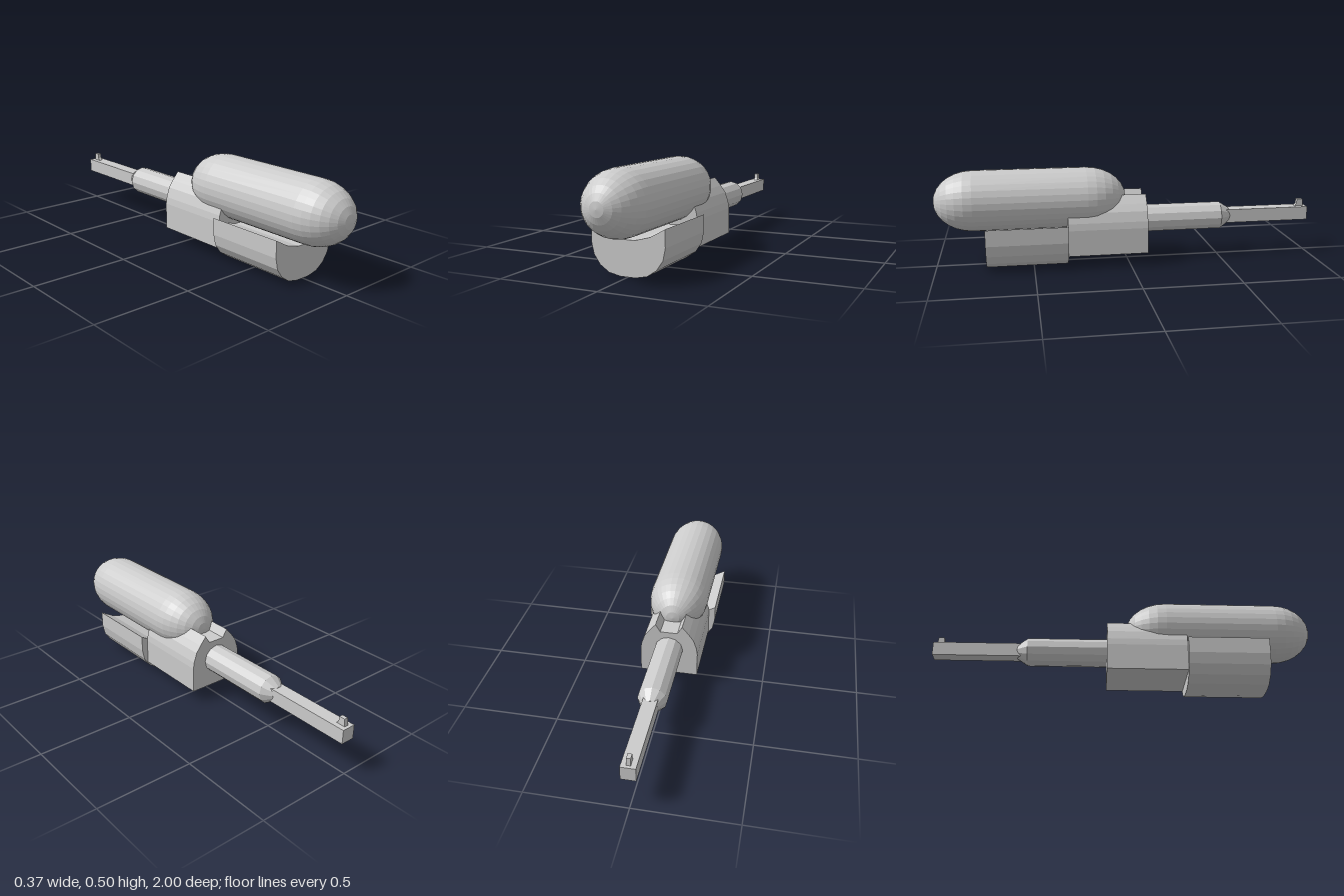
import * as THREE from 'three';

const material = new THREE.MeshStandardMaterial({ color: 0xcccccc, flatShading: true });

function add(group, name, geometry) {
  const mesh = new THREE.Mesh(geometry, material);
  mesh.name = name;
  group.add(mesh);
}

// Mirror a right-hand outline [x, y] (bottom to top) across x = 0 and extrude it along z
function mirroredPrism(half, zBack, zFront) {
  const outline = [...half, ...half.map(([x, y]) => [-x, y]).reverse()];
  const shape = new THREE.Shape(outline.map(([x, y]) => new THREE.Vector2(x, y)));
  const geometry = new THREE.ExtrudeGeometry(shape, { depth: zFront - zBack, bevelEnabled: false });
  return geometry.translate(0, 0, zBack);
}

// Revolve [radius, z] points, ordered back to front, around a z axis at height y
function latheZ(points, sides, y) {
  const profile = points.map(([r, z]) => new THREE.Vector2(r, z));
  return new THREE.LatheGeometry(profile, sides).rotateX(Math.PI / 2).translate(0, y, 0);
}

export function createModel() {
  const group = new THREE.Group();

  // Long tank with elliptical ends
  const tank = [];
  const steps = 7, radius = 0.157;
  for (let i = 0; i <= steps; i++) {
    const a = (i / steps) * Math.PI / 2;
    tank.push([radius * Math.sin(a), 0.22 - 0.21 * Math.cos(a)]);
  }
  for (let i = steps; i >= 0; i--) {
    const a = (i / steps) * Math.PI / 2;
    tank.push([radius * Math.sin(a), 0.8 + 0.2 * Math.cos(a)]);
  }
  add(group, 'tank', latheZ(tank, 30, 0.343));

  // Curved cradle below the tank
  add(group, 'cradle', mirroredPrism([
    [0.037, 0], [0.096, 0.012], [0.143, 0.044], [0.175, 0.09],
    [0.187, 0.147], [0.187, 0.232], [0.112, 0.19], [0.037, 0.17],
  ], 0.325, 0.742));

  // Arched body block with a groove along the top
  add(group, 'body', mirroredPrism([
    [0.152, 0.065], [0.152, 0.2], [0.147, 0.235], [0.13, 0.285],
    [0.105, 0.32], [0.07, 0.362], [0.045, 0.32],
  ], -0.09, 0.325));

  // Round barrel sleeve tapering to the rod
  add(group, 'barrelSleeve', latheZ([
    [0, -0.56], [0.038, -0.56], [0.074, -0.505], [0.074, -0.08],
  ], 12, 0.215));

  // Square rod
  add(group, 'rod', new THREE.BoxGeometry(0.072, 0.072, 0.46).translate(0, 0.214, -0.77));

  // Small sight with a ramp on the end of the rod
  const side = new THREE.Shape([
    [0.932, 0.245], [0.985, 0.245], [0.98, 0.288], [0.95, 0.288], [0.947, 0.262],
  ].map(([z, y]) => new THREE.Vector2(z, y)));
  const sight = new THREE.ExtrudeGeometry(side, { depth: 0.02, bevelEnabled: false });
  add(group, 'sight', sight.translate(0, 0, -0.01).rotateY(Math.PI / 2));

  return group;
}
